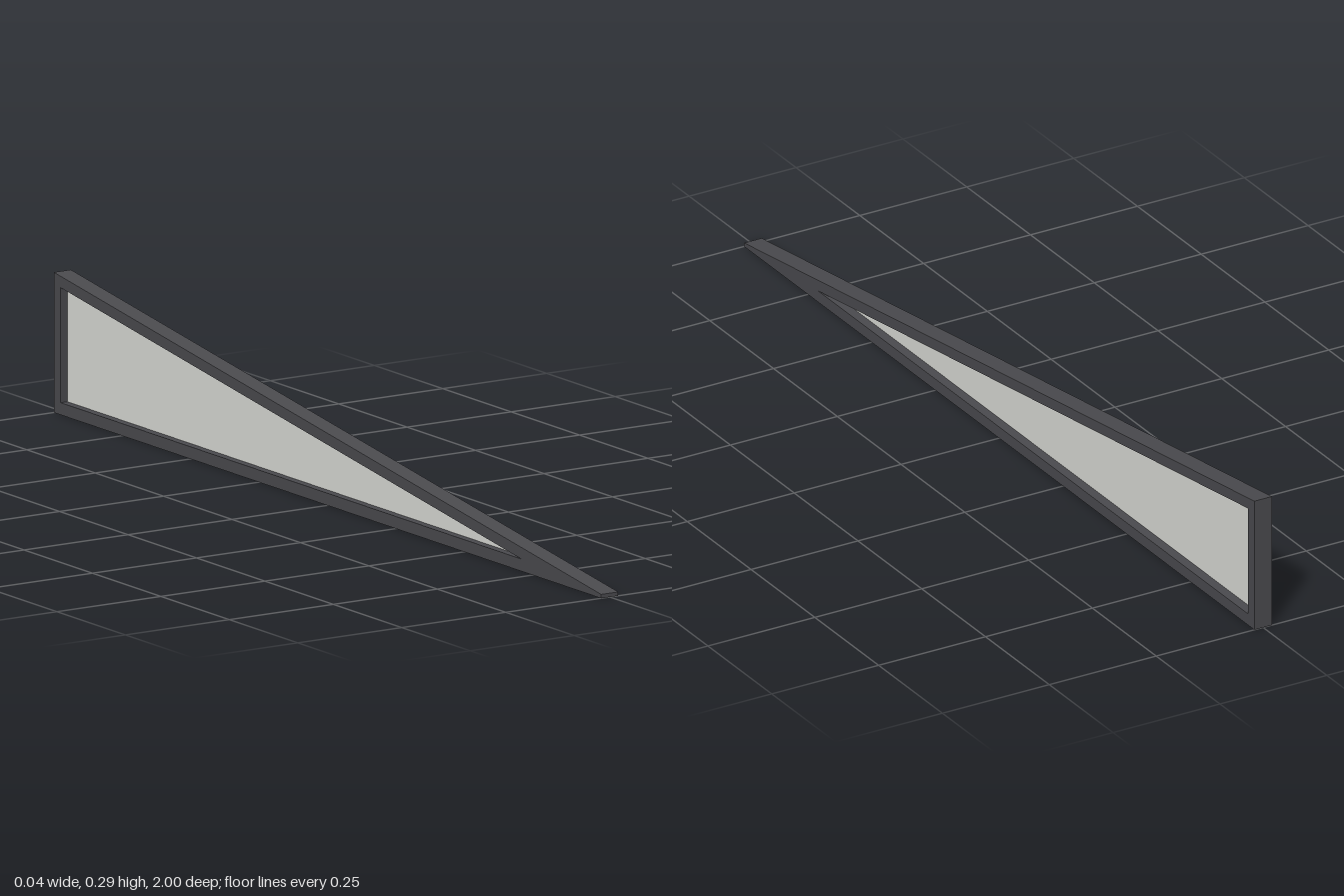
import * as THREE from 'three';

// Extrude a (z, y) outline along x, centred on the given x
function extrudeAcross(outline, hole, width, x) {
  const toPoints = (list) => list.map(([z, y]) => new THREE.Vector2(-z, y));
  const shape = new THREE.Shape(toPoints(outline));
  if (hole) shape.holes.push(new THREE.Path(toPoints(hole)));
  const geometry = new THREE.ExtrudeGeometry(shape, { depth: width, bevelEnabled: false });
  geometry.translate(0, 0, -width / 2);
  geometry.rotateY(Math.PI / 2);
  geometry.translate(x, 0, 0);
  return geometry;
}

export function createModel() {
  const frameMaterial = new THREE.MeshStandardMaterial({ color: 0x4b4b4f });
  frameMaterial.name = 'dark grey frame';
  const paneMaterial = new THREE.MeshStandardMaterial({ color: 0xdcddd8 });
  paneMaterial.name = 'pale grey pane';

  // Outer outline runs anticlockwise, the opening clockwise, so all walls face out
  const outer = [[1, 0], [-1, 0], [-1, 0.289], [1, 0.008]];
  const opening = [[0.71, 0.025], [-0.975, 0.262], [-0.975, 0.025]];

  const group = new THREE.Group();
  group.name = 'wedgeWindow';

  // Wedge-shaped frame with a triangular opening
  const frame = new THREE.Mesh(extrudeAcross(outer, opening, 0.041, 0), frameMaterial);
  frame.name = 'frame';

  // Thin pane recessed in the middle of the frame
  const pane = new THREE.Mesh(extrudeAcross(opening, null, 0.004, -0.002), paneMaterial);
  pane.name = 'pane';

  group.add(frame, pane);
  return group;
}
